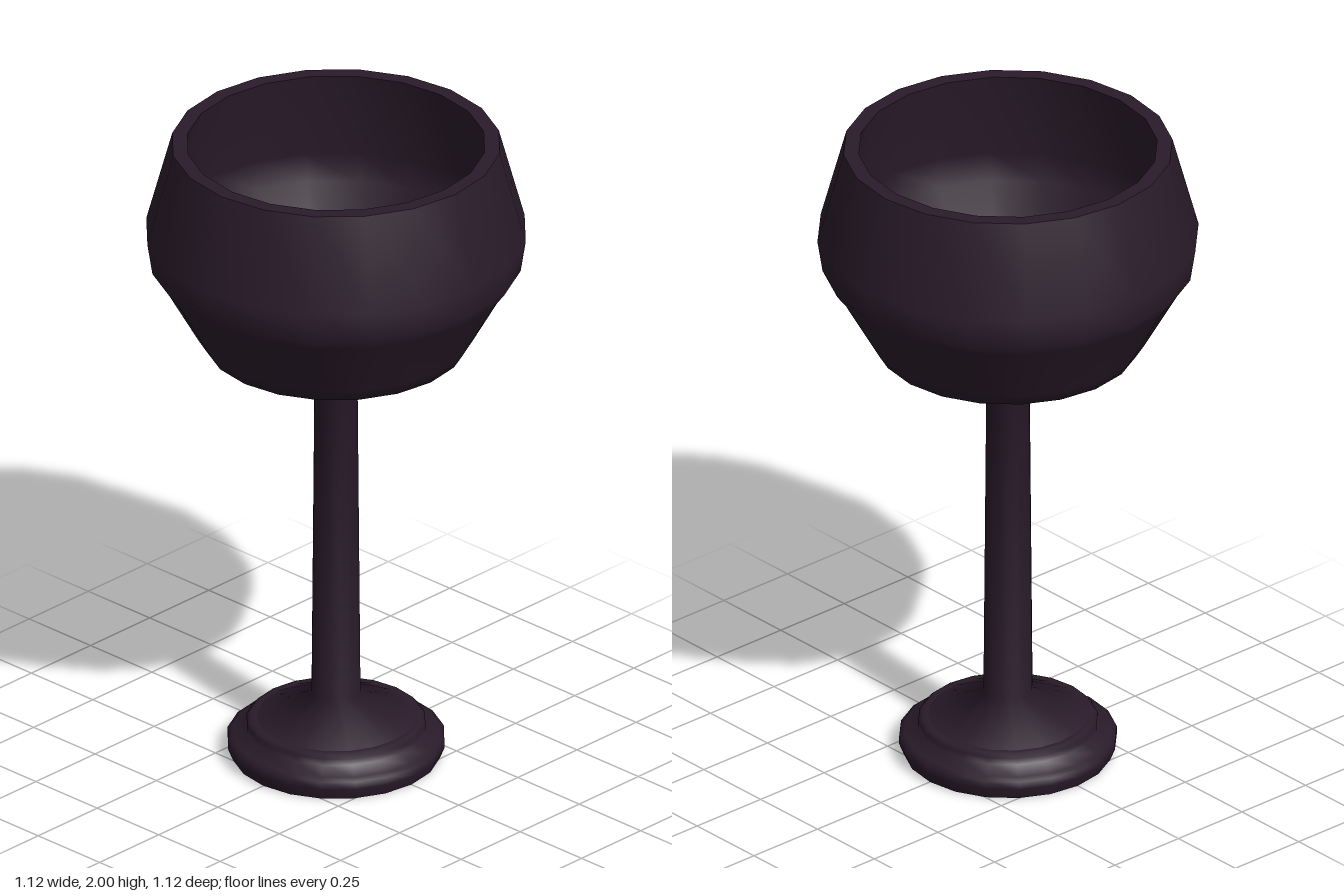
import * as THREE from 'three';

const SIDES = 20;

export function createModel() {
  const group = new THREE.Group();
  group.name = 'goblet';
  const material = new THREE.MeshStandardMaterial({ color: 0x2a1b2a });

  // Each profile is one smooth band of [radius, height]; separate bands keep sharp edges between them.
  const turn = (name, profile) => {
    const points = profile.map(([r, y]) => new THREE.Vector2(r, y));
    const mesh = new THREE.Mesh(new THREE.LatheGeometry(points, SIDES), material);
    mesh.name = name;
    group.add(mesh);
  };

  // Foot: flat underside and stepped rim
  turn('footUnderside', [[0, 0], [0.307, 0]]);
  turn('footRim', [
    [0.307, 0], [0.321, 0.035], [0.321, 0.06], [0.305, 0.068],
    [0.265, 0.088], [0.265, 0.108], [0.255, 0.12], [0.235, 0.12],
  ]);

  // Foot cone, tapered stem and outside of the bowl flow into one another
  turn('stemAndBowlOutside', [
    [0.235, 0.12], [0.0725, 0.203], [0.064, 1.208], [0.385, 1.348], [0.41, 1.388],
    [0.52, 1.583], [0.547, 1.618], [0.562, 1.715], [0.485, 2],
  ]);

  // Bowl: flat lip, inner wall following the bulge, and floor
  turn('bowlLip', [[0.485, 2], [0.44, 2]]);
  turn('bowlInside', [[0.44, 2], [0.505, 1.715], [0.49, 1.63], [0.39, 1.4]]);
  turn('bowlFloor', [[0.39, 1.4], [0, 1.4]]);

  return group;
}
